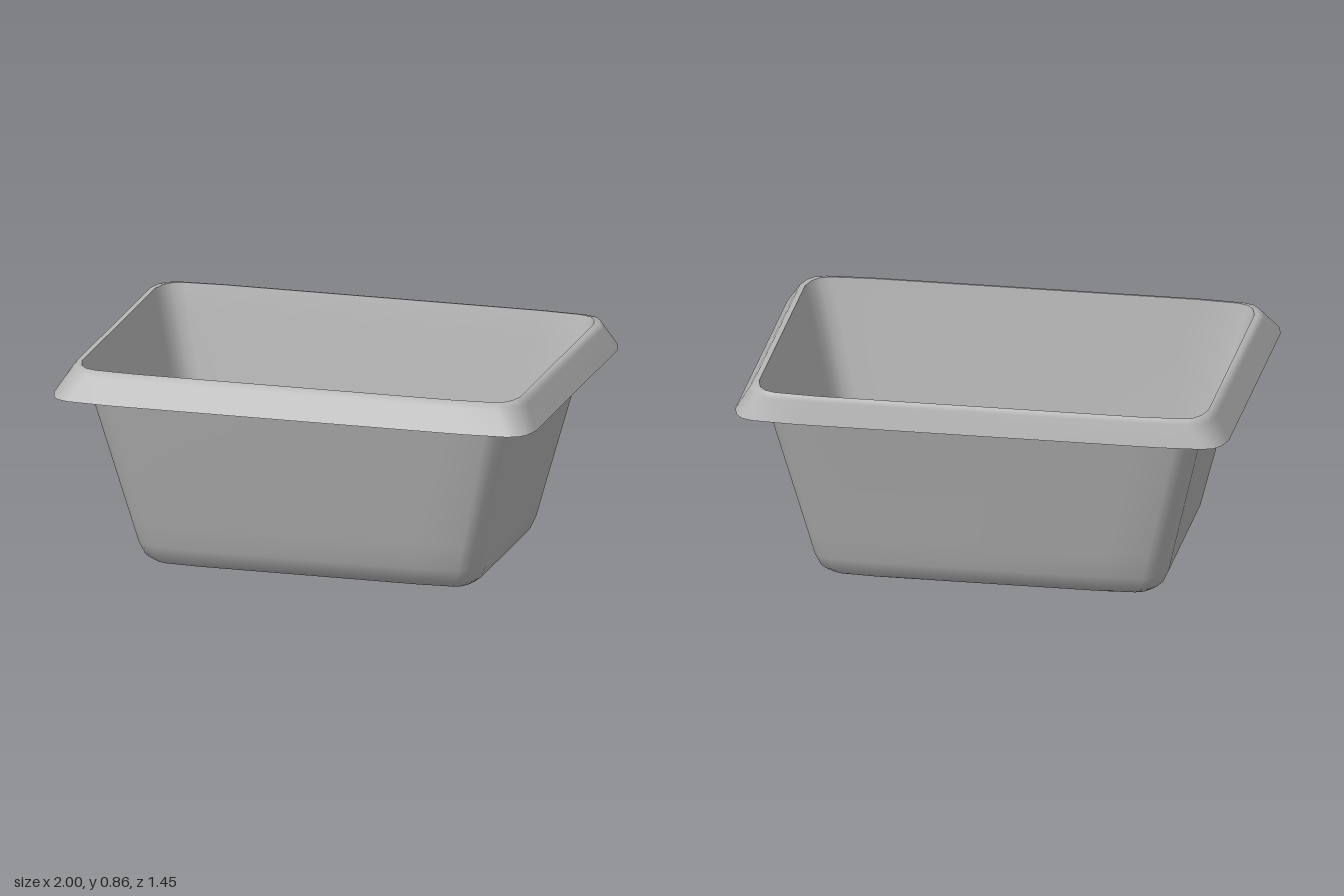
import * as THREE from 'three';

// Outline of one level: [half width, back z, front z, height, corner size]
function ring([w, back, front, y, c]) {
  // Corner as insets from the bounding corner: along x, along z
  const corner = [[0.27, 0], [0.09, 0.012], [0.045, 0.03], [0.018, 0.065], [0, 0.13]];
  const pts = [];
  const quarter = (sx, z, sz, flip) => {
    const list = corner.map(([dx, dz]) => [sx * (w - dx * c), y, z - sz * dz * c]);
    pts.push(...(flip ? list.reverse() : list));
  };
  quarter(1, front, 1, false);
  quarter(1, back, -1, true);
  quarter(-1, back, -1, false);
  quarter(-1, front, 1, true);
  return pts;
}

// Skin a stack of levels, with an optional cap on the first one
function loft(levels, capped) {
  const rings = levels.map(ring);
  const n = rings[0].length;
  const pos = rings.flat(2);
  const index = [];
  for (let r = 0; r < rings.length - 1; r++) {
    for (let i = 0; i < n; i++) {
      const j = (i + 1) % n;
      const a = r * n + i, b = r * n + j, d = a + n, e = b + n;
      index.push(a, b, e, a, e, d);
    }
  }
  if (capped) {
    const [, back, front, y] = levels[0];
    const centre = pos.length / 3;
    pos.push(0, y, (back + front) / 2);
    for (let i = 0; i < n; i++) index.push(centre, (i + 1) % n, i);
  }
  const geo = new THREE.BufferGeometry();
  geo.setAttribute('position', new THREE.Float32BufferAttribute(pos, 3));
  geo.setIndex(index);
  geo.computeVertexNormals();
  return geo;
}

export function createModel() {
  const group = new THREE.Group();
  group.name = 'washBasin';
  const plastic = new THREE.MeshStandardMaterial({ color: 0xb4b4b4, side: THREE.DoubleSide });
  plastic.name = 'greyPlastic';

  const add = (name, geo) => {
    const mesh = new THREE.Mesh(geo, plastic);
    mesh.name = name;
    group.add(mesh);
  };

  // Tapered tub: flat floor, rounded foot, sloping walls
  add('tub', loft([
    [0.56, -0.35, 0.29, 0.0, 0.6],
    [0.66, -0.45, 0.40, 0.012, 0.75],
    [0.695, -0.487, 0.437, 0.04, 0.85],
    [0.72, -0.513, 0.463, 0.095, 0.95],
    [0.745, -0.535, 0.487, 0.2, 0.95],
    [0.88, -0.652, 0.602, 0.75, 0.95],
    [0.91, -0.68, 0.623, 0.86, 0.95],
  ], true));

  // Rim folded outwards and down, open underneath
  add('rim', loft([
    [0.91, -0.68, 0.623, 0.86, 0.95],
    [0.932, -0.69, 0.636, 0.859, 0.97],
    [0.945, -0.698, 0.654, 0.84, 1],
    [1.0, -0.725, 0.725, 0.75, 1],
  ], false));

  return group;
}
